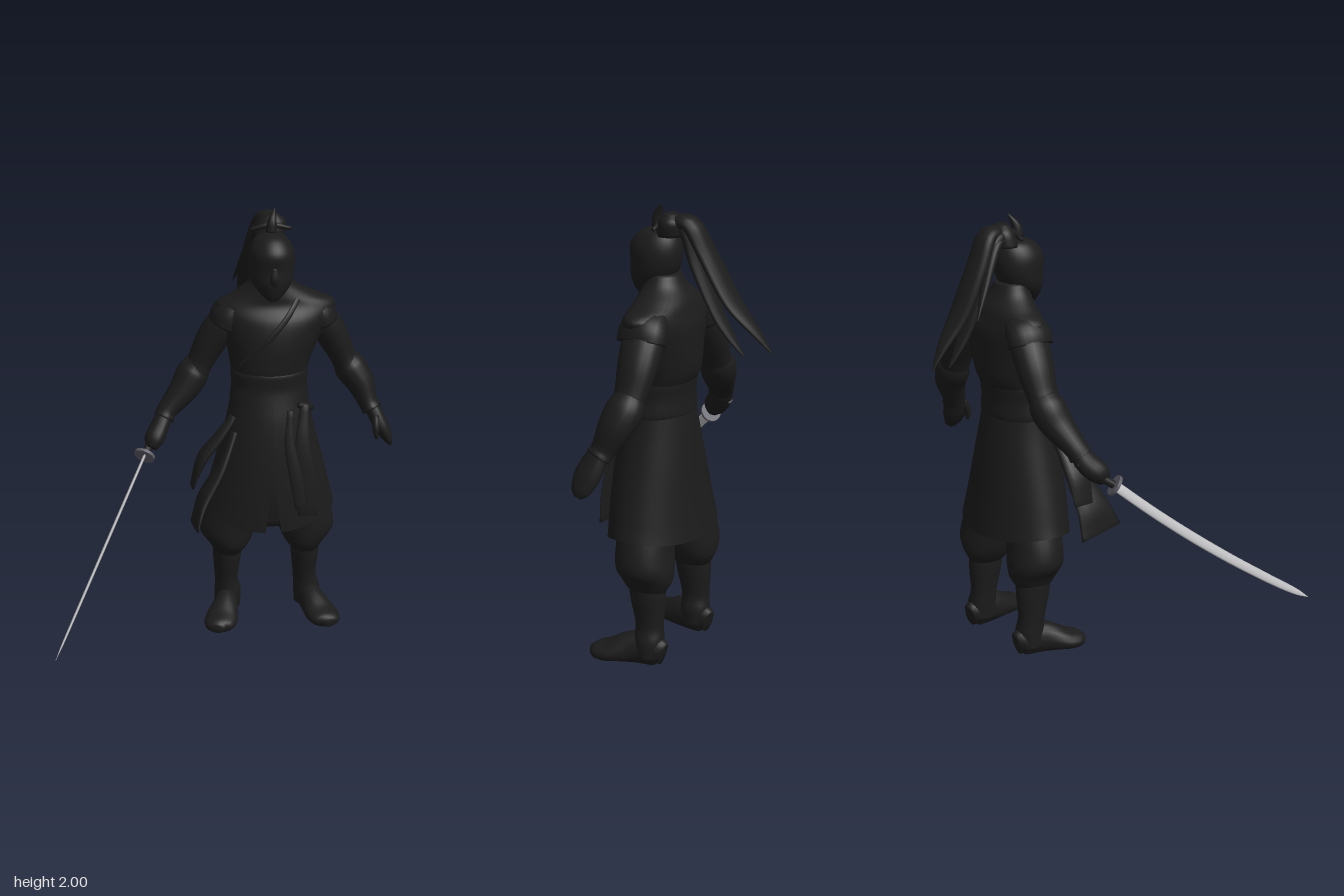
import * as THREE from 'three';

const mat = (name, color, side = THREE.FrontSide) =>
  Object.assign(new THREE.MeshStandardMaterial({ color, side }), { name });

const CX = 0.222; // centre line of the body

// Smooth skin over elliptical rings [x, y, z, radiusU, radiusV], listed from start to end.
// flat keeps rings level; ref is the direction radiusV follows; gap(t) opens a slit at +z.
function loft(rings, { flat = false, ref = [0, 0, 1], seg = 24, steps = 5, gap = null, warp = null } = {}) {
  const V = (x, y, z) => new THREE.Vector3(x, y, z);
  const path = new THREE.CatmullRomCurve3(rings.map(r => V(r[0], r[1], r[2])), false, 'catmullrom', 0.5);
  const size = new THREE.CatmullRomCurve3(rings.map(r => V(r[3], r[4], 0)), false, 'catmullrom', 0.5);
  const n = (rings.length - 1) * steps, pos = [], idx = [], R = V(...ref);
  const cols = gap ? seg + 1 : seg;
  for (let i = 0; i <= n; i++) {
    const t = i / n, c = path.getPoint(t), s = size.getPoint(t);
    const d = flat ? V(0, -1, 0) : path.getTangent(t);
    const v = R.clone().addScaledVector(d, -R.dot(d)).normalize();
    const u = v.clone().cross(d);
    const g = gap ? gap(t) : 0;
    for (let j = 0; j < cols; j++) {
      const a = Math.PI / 2 + g + (j / seg) * (Math.PI * 2 - 2 * g);
      const p = c.clone().addScaledVector(u, Math.cos(a) * Math.max(s.x, 0.001))
        .addScaledVector(v, Math.sin(a) * Math.max(s.y, 0.001));
      if (warp) warp(p, a, t);
      pos.push(p.x, p.y, p.z);
    }
  }
  for (let i = 0; i < n; i++) for (let j = 0; j < seg; j++) {
    const k = gap ? j + 1 : (j + 1) % seg;
    const a = i * cols + j, b = i * cols + k;
    idx.push(a, b, a + cols, b, b + cols, a + cols);
  }
  if (!gap) for (const [row, flip] of [[0, true], [n, false]]) {
    const c = path.getPoint(row / n), m = pos.length / 3;
    pos.push(c.x, c.y, c.z);
    for (let j = 0; j < seg; j++) {
      const a = row * cols + j, b = row * cols + (j + 1) % seg;
      flip ? idx.push(m, b, a) : idx.push(m, a, b);
    }
  }
  const geo = new THREE.BufferGeometry();
  geo.setAttribute('position', new THREE.Float32BufferAttribute(pos, 3));
  geo.setIndex(idx);
  geo.computeVertexNormals();
  return geo;
}

export function createModel() {
  const black = mat('black cloth', 0x1b1b1b);
  const lined = mat('black open cloth', 0x1b1b1b, THREE.DoubleSide);
  const steel = mat('blade steel', 0xbcbcbf);
  const iron = mat('guard iron', 0x5a5a64);
  const root = new THREE.Group();
  const add = (name, geo, m = black) => {
    const mesh = new THREE.Mesh(geo, m);
    mesh.name = name;
    root.add(mesh);
    return mesh;
  };
  const level = { flat: true, seg: 32 }, sideways = { ref: [1, 0, 0], seg: 14 };

  // Head and face
  add('head', loft([
    [CX, 1.9, -0.18, 0.02, 0.03], [CX, 1.875, -0.177, 0.07, 0.083], [CX, 1.82, -0.167, 0.1, 0.114],
    [CX, 1.75, -0.167, 0.103, 0.11], [CX, 1.69, -0.15, 0.092, 0.094], [CX, 1.64, -0.125, 0.058, 0.058],
    [CX, 1.61, -0.11, 0.025, 0.03]], level));
  add('nose', loft([[CX, 1.77, -0.064, 0.012, 0.008], [CX, 1.715, -0.062, 0.022, 0.016],
    [CX, 1.68, -0.066, 0.016, 0.008]], { flat: true, seg: 10 }));

  // Topknot and ponytail
  add('topknot', loft([[CX + 0.01, 1.965, -0.245, 0.03, 0.025], [CX + 0.01, 1.93, -0.25, 0.065, 0.055],
    [CX, 1.87, -0.24, 0.07, 0.06]], level));
  add('hairSpike', loft([[0.22, 1.9, -0.17, 0.025, 0.025], [0.225, 1.95, -0.175, 0.02, 0.02],
    [0.24, 2.0, -0.205, 0.003, 0.003]], sideways));
  add('hairTie', loft([[0.135, 1.905, -0.21, 0.008, 0.008], [0.22, 1.925, -0.2, 0.015, 0.015],
    [0.315, 1.905, -0.21, 0.008, 0.008]], { seg: 10 }));
  const tails = [
    [[0.23, 1.92, -0.24, 0.03, 0.04], [0.22, 1.925, -0.33, 0.035, 0.055], [0.2, 1.81, -0.4, 0.03, 0.065],
      [0.18, 1.62, -0.51, 0.022, 0.065], [0.16, 1.5, -0.61, 0.014, 0.035], [0.14, 1.41, -0.68, 0.003, 0.004]],
    [[0.22, 1.91, -0.24, 0.03, 0.04], [0.21, 1.9, -0.31, 0.035, 0.05], [0.21, 1.76, -0.36, 0.026, 0.05],
      [0.2, 1.57, -0.45, 0.018, 0.045], [0.19, 1.47, -0.51, 0.013, 0.03], [0.18, 1.39, -0.57, 0.003, 0.004]],
    [[0.21, 1.91, -0.25, 0.025, 0.03], [0.18, 1.88, -0.32, 0.025, 0.03], [0.14, 1.74, -0.4, 0.018, 0.025],
      [0.09, 1.6, -0.48, 0.003, 0.004]]];
  for (const t of tails) add('ponytail', loft(t, sideways));

  // Vest, collar and belt
  add('vest', loft([
    [CX, 1.71, -0.205, 0.078, 0.07], [0.226, 1.66, -0.215, 0.11, 0.085], [0.24, 1.61, -0.23, 0.185, 0.105],
    [0.253, 1.565, -0.235, 0.27, 0.115], [0.25, 1.5, -0.225, 0.25, 0.143], [0.237, 1.4, -0.215, 0.212, 0.152],
    [0.225, 1.3, -0.21, 0.183, 0.148], [CX, 1.24, -0.2, 0.172, 0.132]], level));
  add('belt', loft([[CX, 1.27, -0.2, 0.172, 0.132], [CX, 1.25, -0.2, 0.178, 0.138],
    [CX, 1.19, -0.198, 0.174, 0.134], [CX, 1.12, -0.192, 0.183, 0.142], [CX, 1.1, -0.19, 0.178, 0.136]], level));
  add('lapel', loft([[0.34, 1.6, -0.14, 0.012, 0.005], [0.28, 1.52, -0.09, 0.014, 0.006],
    [0.19, 1.42, -0.071, 0.014, 0.006], [0.08, 1.31, -0.105, 0.012, 0.005]], { seg: 10 }));

  // Split coat skirt with a hem that dips at front and back
  add('skirt', loft([
    [CX, 1.14, -0.19, 0.176, 0.136], [CX, 1.03, -0.187, 0.198, 0.158], [CX, 0.88, -0.188, 0.235, 0.178],
    [CX, 0.7, -0.193, 0.278, 0.193], [CX, 0.52, -0.203, 0.312, 0.205]],
  { flat: true, seg: 48, gap: t => 0.12 * Math.max(0, t - 0.55) / 0.45,
    warp: (p, a, t) => {
      p.y += t ** 4 * (0.075 * Math.cos(a) ** 2 + (Math.sin(a) < 0 ? 0.04 * Math.sin(a) ** 2 : 0));
    } }), lined);
  add('skirtLining', loft([[CX, 0.85, -0.08, 0.1, 0.05], [CX, 0.7, -0.07, 0.11, 0.045],
    [CX, 0.53, -0.08, 0.08, 0.03]], level));

  // Sash knot and hanging ribbons
  add('sashKnot', loft([[0.34, 1.12, -0.075, 0.012, 0.014], [0.38, 1.1, -0.1, 0.022, 0.02],
    [0.41, 1.08, -0.14, 0.012, 0.014]], sideways));
  const ribbons = [
    [[0.37, 1.12, -0.08, 0.02, 0.012], [0.355, 0.95, -0.035, 0.034, 0.01], [0.37, 0.76, -0.015, 0.05, 0.01],
      [0.38, 0.6, -0.005, 0.045, 0.008]],
    [[0.3, 1.1, -0.055, 0.016, 0.01], [0.295, 0.95, -0.022, 0.025, 0.01], [0.32, 0.8, 0.0, 0.03, 0.01],
      [0.345, 0.64, 0.012, 0.025, 0.008]],
    [[0.05, 1.06, -0.12, 0.016, 0.03], [-0.02, 0.97, -0.1, 0.022, 0.045], [-0.1, 0.87, -0.09, 0.022, 0.06],
      [-0.145, 0.74, -0.09, 0.008, 0.05]],
    [[0.05, 1.0, -0.08, 0.016, 0.03], [-0.02, 0.84, -0.04, 0.022, 0.06], [-0.105, 0.7, -0.01, 0.022, 0.09],
      [-0.145, 0.58, 0.01, 0.008, 0.115]]];
  for (const r of ribbons) add('sashRibbon', loft(r, { seg: 14, flat: r[0][0] > 0.2 }));

  // Legs, boots and arms, mirrored about the centre line
  for (const s of [-1, 1]) {
    const X = d => CX + s * d, A = d => 0.245 + s * d, F = d => CX + 0.01 + s * d;
    add('trouserLeg', loft([
      [X(0.1), 0.85, -0.21, 0.11, 0.12], [X(0.14), 0.66, -0.215, 0.125, 0.125], [X(0.175), 0.53, -0.225, 0.135, 0.125],
      [X(0.188), 0.45, -0.232, 0.13, 0.128], [X(0.18), 0.39, -0.235, 0.098, 0.12], [X(0.183), 0.34, -0.238, 0.068, 0.09]], level));
    add('bootShaft', loft([
      [X(0.187), 0.4, -0.24, 0.07, 0.085], [X(0.188), 0.3, -0.247, 0.066, 0.082], [X(0.19), 0.18, -0.257, 0.055, 0.065],
      [F(0.192), 0.11, -0.262, 0.063, 0.068], [F(0.195), 0.03, -0.262, 0.062, 0.068]], level));
    add('foot', loft([
      [F(0.188), 0.05, -0.335, 0.03, 0.05], [F(0.192), 0.06, -0.3, 0.05, 0.07], [F(0.207), 0.06, -0.2, 0.058, 0.075],
      [F(0.24), 0.035, -0.1, 0.078, 0.05], [F(0.262), 0.028, -0.04, 0.065, 0.036], [F(0.268), 0.025, -0.01, 0.025, 0.02]],
    { ref: [0, 1, 0], seg: 20, warp: p => { p.y = Math.max(0, p.y); } }));
    add('sleeveCap', loft([
      [A(0.15), 1.56, -0.24, 0.05, 0.09], [A(0.2), 1.515, -0.247, 0.076, 0.107], [A(0.222), 1.465, -0.25, 0.076, 0.11]], { seg: 20 }));
    add('arm', loft([
      [A(0.16), 1.54, -0.25, 0.045, 0.07], [A(0.222), 1.47, -0.258, 0.072, 0.09], [A(0.28), 1.38, -0.27, 0.072, 0.086],
      [A(0.33), 1.28, -0.272, 0.06, 0.073], [A(0.365), 1.21, -0.262, 0.064, 0.072]], { seg: 20 }));
    add('bracer', loft([
      [A(0.335), 1.275, -0.27, 0.056, 0.065], [A(0.365), 1.225, -0.268, 0.074, 0.082], [A(0.41), 1.155, -0.248, 0.066, 0.076],
      [X(0.465), 1.07, -0.215, 0.046, 0.056], [X(0.485), 1.035, -0.2, 0.048, 0.058]], { seg: 20 }));
  }

  // Open left hand
  add('leftHand', loft([[0.7, 1.06, -0.205, 0.036, 0.045], [0.728, 1.0, -0.185, 0.036, 0.058],
    [0.752, 0.95, -0.17, 0.034, 0.06], [0.778, 0.9, -0.16, 0.022, 0.045], [0.79, 0.875, -0.155, 0.008, 0.02]], { seg: 16 }));
  add('leftThumb', loft([[0.715, 1.02, -0.15, 0.018, 0.02], [0.712, 0.97, -0.125, 0.017, 0.018],
    [0.715, 0.92, -0.12, 0.008, 0.01]], { seg: 12 }));

  // Right fist around the hilt
  add('rightHand', loft([[-0.255, 1.05, -0.21, 0.04, 0.045], [-0.285, 1.0, -0.18, 0.042, 0.055],
    [-0.312, 0.955, -0.14, 0.044, 0.052], [-0.325, 0.92, -0.12, 0.025, 0.03]], { seg: 16 }));

  // Sword: hilt, guard and a gently curved blade
  const base = new THREE.Vector3(-0.36, 0.9, -0.09), tip = new THREE.Vector3(-0.8, 0.31, 0.68);
  const dir = tip.clone().sub(base).normalize(), up = new THREE.Vector3(0, 1, 0);
  const along = (mesh, d) => {
    mesh.quaternion.setFromUnitVectors(up, dir);
    mesh.position.copy(base).addScaledVector(dir, d);
  };
  along(add('hilt', new THREE.CylinderGeometry(0.018, 0.018, 0.2, 14)), -0.1);
  along(add('guard', new THREE.CylinderGeometry(0.048, 0.048, 0.014, 28), iron), 0);
  const edge = new THREE.Vector3(-0.17, -0.75, -0.67);
  edge.addScaledVector(dir, -edge.dot(dir)).normalize();
  const rings = [0, 0.2, 0.4, 0.6, 0.8, 0.93, 1].map((t, i) => {
    const p = base.clone().lerp(tip, t).addScaledVector(edge, 0.11 * t * (1 - t));
    const w = [0.023, 0.023, 0.023, 0.022, 0.02, 0.015, 0.001][i];
    return [p.x, p.y, p.z, w * 0.28, w];
  });
  add('blade', loft(rings, { ref: edge.toArray(), seg: 8 }), steel);

  return root;
}
